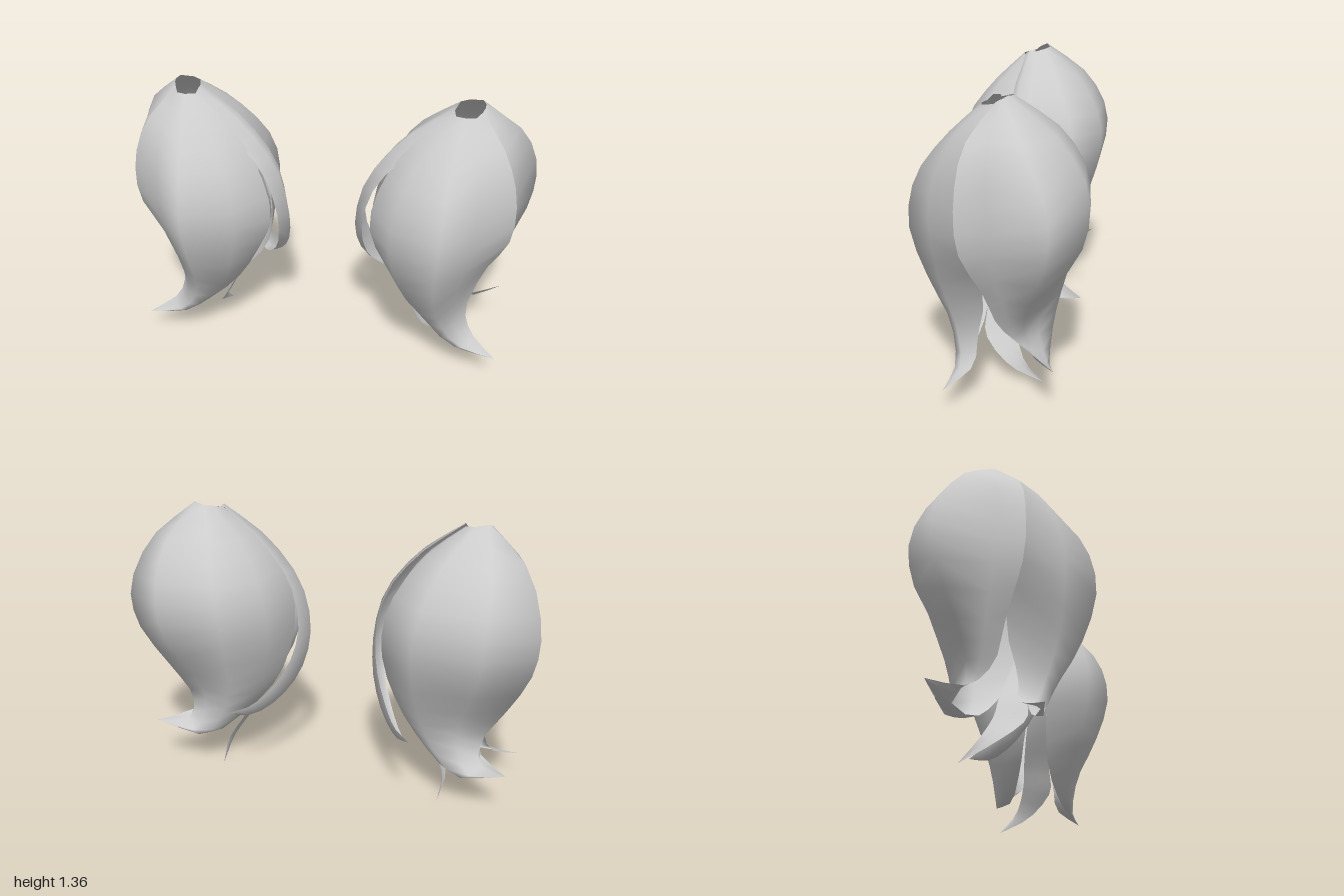
import * as THREE from 'three';

const material = new THREE.MeshStandardMaterial({ color: 0xcccccc, side: THREE.DoubleSide });
const ROWS = 16;

// Seams shared by neighbouring locks, from the root down to where the locks part
const outerSeam = [[0.725, 1.32, 0.00], [0.85, 1.17, 0.10], [0.915, 0.97, 0.13], [0.91, 0.75, 0.12], [0.815, 0.53, 0.035]];
const innerSeam = [[0.30, 0.97, 0.10], [0.245, 0.72, 0.10], [0.33, 0.50, 0.08], [0.46, 0.30, 0.08]];

// Each lock is lofted across a few ribs; every rib runs from root to tip as [x, y, z].
const frontLock = [
  [[0.60, 1.31, 0.04], [0.42, 1.16, 0.08], ...innerSeam, [0.65, 0.16, 0.13]],
  [[0.62, 1.31, 0.05], [0.49, 1.16, 0.18], [0.40, 0.97, 0.28], [0.37, 0.75, 0.31], [0.42, 0.50, 0.26], [0.53, 0.30, 0.18], [0.68, 0.145, 0.17]],
  [[0.66, 1.31, 0.06], [0.63, 1.16, 0.22], [0.61, 0.97, 0.36], [0.60, 0.75, 0.40], [0.59, 0.50, 0.325], [0.62, 0.30, 0.22], [0.72, 0.15, 0.18]],
  [[0.70, 1.31, 0.05], [0.74, 1.16, 0.18], [0.75, 0.97, 0.26], [0.74, 0.75, 0.275], [0.69, 0.50, 0.24], [0.68, 0.30, 0.18], [0.75, 0.165, 0.15]],
  [...outerSeam, [0.735, 0.30, 0.075], [0.775, 0.175, 0.09]],
];
const backLock = [
  [...outerSeam, [0.755, 0.36, -0.02], [0.75, 0.27, -0.12]],
  [[0.735, 1.335, -0.02], [0.88, 1.17, 0.00], [0.92, 0.97, 0.00], [0.91, 0.75, 0.00], [0.825, 0.50, -0.05], [0.76, 0.345, -0.08], [0.755, 0.25, -0.15]],
  [[0.735, 1.345, -0.04], [0.92, 1.18, -0.15], [1.00, 0.95, -0.25], [0.98, 0.75, -0.24], [0.86, 0.50, -0.16], [0.765, 0.34, -0.13], [0.76, 0.23, -0.17]],
  [[0.72, 1.355, -0.06], [0.78, 1.18, -0.285], [0.785, 0.97, -0.395], [0.765, 0.75, -0.375], [0.68, 0.50, -0.245], [0.66, 0.33, -0.18], [0.71, 0.19, -0.22]],
  [[0.66, 1.345, -0.08], [0.55, 1.18, -0.27], [0.48, 0.97, -0.375], [0.46, 0.75, -0.365], [0.48, 0.50, -0.285], [0.54, 0.32, -0.24], [0.66, 0.175, -0.23]],
  [[0.62, 1.34, -0.06], [0.43, 1.18, -0.15], [0.31, 0.97, -0.23], [0.285, 0.75, -0.22], [0.35, 0.50, -0.18], [0.47, 0.30, -0.16], [0.63, 0.17, -0.19]],
  [[0.60, 1.32, 0.01], [0.42, 1.17, 0.04], [0.285, 0.97, 0.06], [0.25, 0.75, 0.05], [0.30, 0.50, -0.02], [0.44, 0.31, -0.07], [0.62, 0.185, -0.14]],
];
const innerLock = [
  [[0.60, 1.335, -0.01], [0.40, 1.18, -0.02], [0.25, 0.98, -0.02], [0.20, 0.75, -0.03], [0.23, 0.58, -0.09], [0.30, 0.46, -0.18], [0.37, 0.40, -0.27]],
  [[0.60, 1.335, 0.02], [0.39, 1.18, 0.05], [0.22, 0.96, 0.06], [0.165, 0.72, 0.05], [0.19, 0.53, -0.02], [0.27, 0.40, -0.13], [0.37, 0.345, -0.25]],
  [[0.61, 1.31, 0.045], [0.44, 1.14, 0.09], [0.28, 0.97, 0.115], [0.21, 0.75, 0.115], [0.23, 0.54, 0.04], [0.31, 0.40, -0.09], [0.39, 0.345, -0.22]],
];
const lowerLock = [
  [[0.31, 0.97, 0.05], [0.26, 0.73, 0.03], [0.34, 0.50, -0.02], [0.445, 0.33, -0.05], [0.50, 0.23, -0.06], [0.575, 0.10, -0.11]],
  [[0.305, 0.97, 0.08], [0.25, 0.725, 0.07], [0.33, 0.50, 0.03], [0.445, 0.32, 0.02], [0.50, 0.21, 0.01], [0.57, 0.09, -0.08]],
  [...innerSeam, [0.515, 0.20, 0.08], [0.58, 0.08, -0.04]],
];

const locks = [
  ['frontLock', frontLock, [0.90, 0.115, 0.20]],
  ['backLock', backLock, [0.90, 0.24, -0.27]],
  ['innerLock', innerLock, [0.46, 0.38, -0.35]],
  ['lowerLock', lowerLock, [0.57, 0, -0.195]],
];

// Skin an open sheet over the ribs, all meeting at the tip
function loft(ribs, tip, side) {
  const curves = ribs.map(rib => new THREE.CatmullRomCurve3(
    [...rib, tip].map(([x, y, z]) => new THREE.Vector3(x * side, y, z))));
  const width = curves.length;
  const positions = [], index = [];
  for (let i = 0; i <= ROWS; i++) {
    curves.forEach((curve, j) => {
      positions.push(...curve.getPoint(i / ROWS).toArray());
      if (i === ROWS || j === width - 1) return;
      const a = i * width + j, b = a + 1, c = a + width, d = c + 1;
      // Mirrored sheets need the opposite winding to keep facing outward
      if (side > 0) index.push(a, c, b, b, c, d);
      else index.push(a, b, c, b, d, c);
    });
  }
  const geometry = new THREE.BufferGeometry();
  geometry.setAttribute('position', new THREE.Float32BufferAttribute(positions, 3));
  geometry.setIndex(index);
  geometry.computeVertexNormals();
  return geometry;
}

export function createModel() {
  const model = new THREE.Group();
  model.name = 'hairBunches';
  for (const side of [1, -1]) {
    const bunch = new THREE.Group();
    bunch.name = side > 0 ? 'leftBunch' : 'rightBunch';
    for (const [name, ribs, tip] of locks) {
      const mesh = new THREE.Mesh(loft(ribs, tip, side), material);
      mesh.name = name;
      bunch.add(mesh);
    }
    model.add(bunch);
  }
  return model;
}
